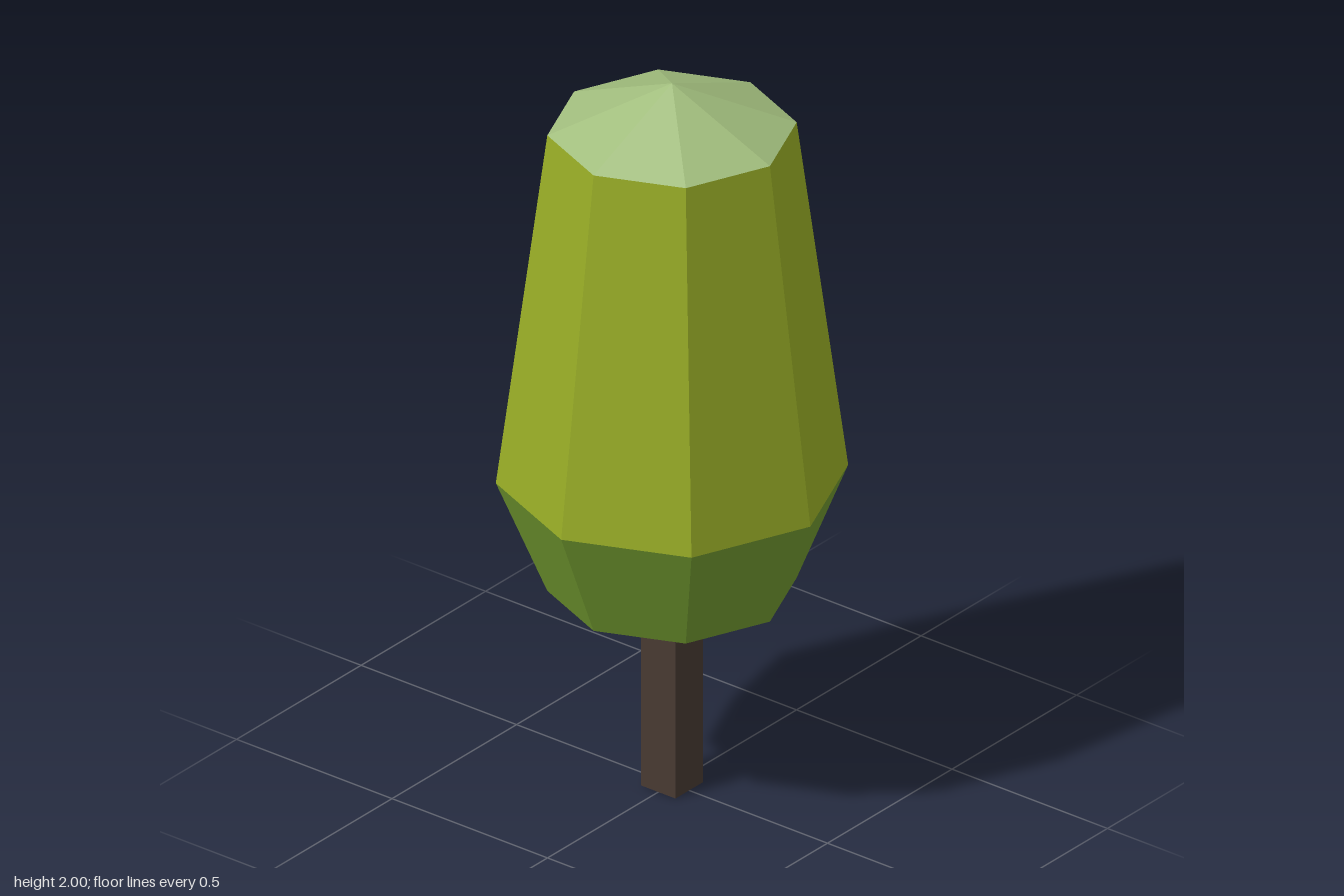
import * as THREE from 'three';

const paint = (name, color) => {
  const m = new THREE.MeshStandardMaterial({ color, flatShading: true });
  m.name = name;
  return m;
};

export function createModel() {
  const tree = new THREE.Group();
  tree.name = 'tree';

  // Square trunk, its top hidden inside the foliage
  const trunkHeight = 0.49;
  const trunk = new THREE.Mesh(
    new THREE.BoxGeometry(0.11, trunkHeight, 0.11),
    paint('bark brown', 0x483a32)
  );
  trunk.name = 'trunk';
  trunk.position.y = trunkHeight / 2;
  tree.add(trunk);

  // Eight-sided foliage bands: bottom height and radius, top height and radius
  const bands = [
    ['foliageUnderside', 0.443, 0, 0.57, 0.315, paint('deep green', 0x0a4a25)],
    ['lowerFoliage', 0.57, 0.315, 0.885, 0.445, paint('leaf green', 0x729b30)],
    ['upperFoliage', 0.885, 0.445, 1.87, 0.315, paint('lime green', 0x98ad26)],
    ['foliageCap', 1.87, 0.315, 2, 0, paint('pale green', 0xa1bd7d)],
  ];
  for (const [name, y0, r0, y1, r1, material] of bands) {
    const band = new THREE.Mesh(
      new THREE.CylinderGeometry(r1, r0, y1 - y0, 8, 1, true),
      material
    );
    band.name = name;
    band.position.y = (y0 + y1) / 2;
    tree.add(band);
  }

  return tree;
}
